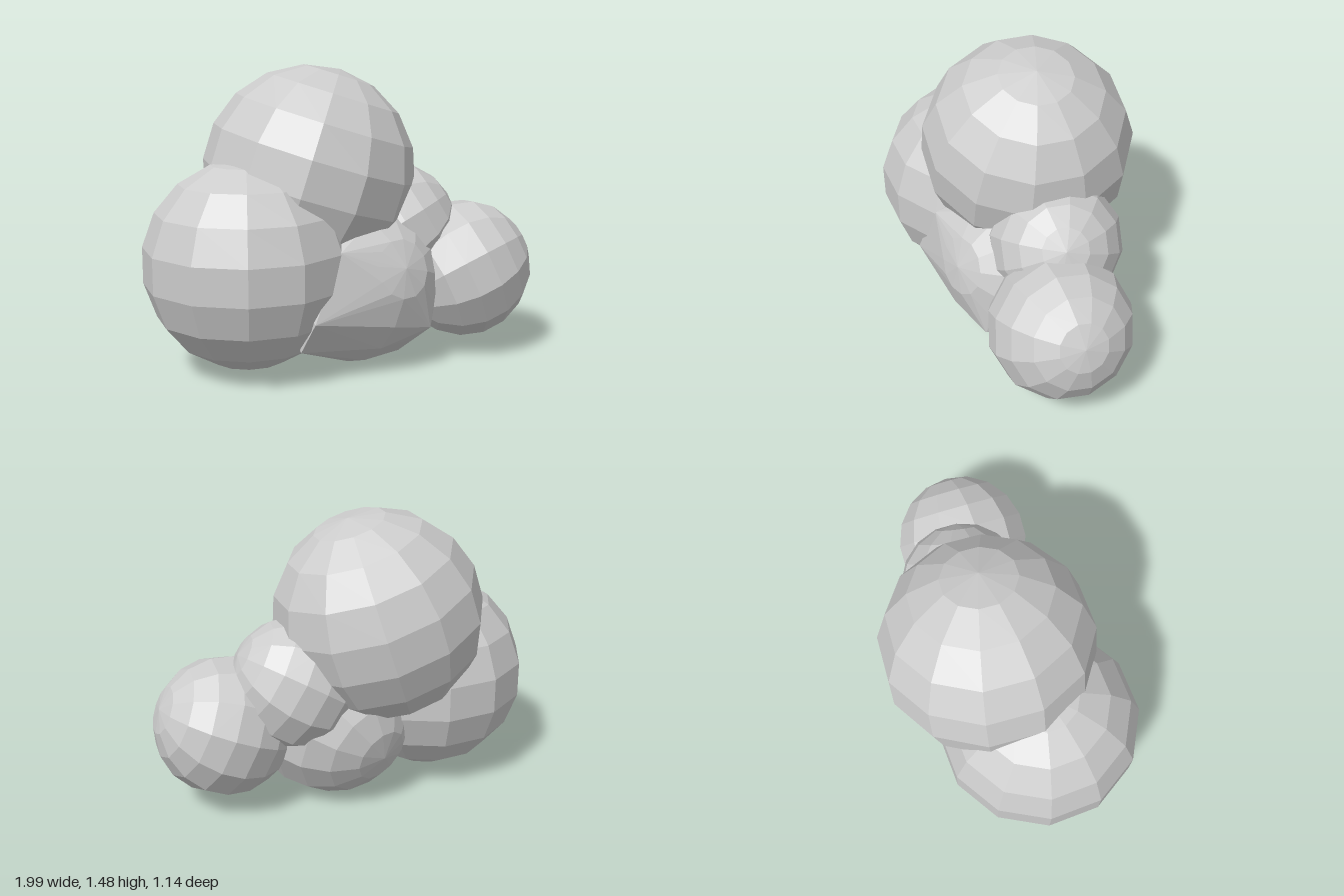
import * as THREE from 'three';
import { ConvexGeometry } from 'three/addons/geometries/ConvexGeometry.js';

const material = new THREE.MeshStandardMaterial({ color: 0xcccccc, flatShading: true });

// Faceted ball whose pole points along the given direction
function ballGeometry(radius, center, pole, spin = 0) {
  const tilt = new THREE.Quaternion().setFromUnitVectors(
    new THREE.Vector3(0, 1, 0), new THREE.Vector3(...pole).normalize());
  return new THREE.SphereGeometry(radius, 12, 9)
    .rotateY(spin).applyQuaternion(tilt).translate(...center);
}

export function createModel() {
  const group = new THREE.Group();
  const add = (name, geometry) => {
    const mesh = new THREE.Mesh(geometry, material);
    mesh.name = name;
    group.add(mesh);
  };

  // Four plain puffs: name, radius, centre, pole direction, spin
  const puffs = [
    ['rightPuff', 0.515, [-0.49, 0.55, 0.065], [0, 1, 0], 0.19],
    ['topPuff', 0.535, [-0.12, 0.96, -0.05], [0.3, 0.95, 0.05], 0.1],
    ['leftPuff', 0.355, [0.65, 0.44, 0.16], [0.9, 0.4, 0.12], 0],
    ['upperLeftPuff', 0.335, [0.315, 0.655, 0.015], [0.8, 0.5, 0.25], 0],
  ];
  for (const [name, ...args] of puffs) add(name, ballGeometry(...args));

  // Bottom puff, stretched at the front into flat facets that meet its neighbours
  const base = ballGeometry(0.425, [0.08, 0.422, 0.08], [0.2, 0.3, 0.93]);
  const position = base.attributes.position;
  const points = [];
  for (let i = 0; i < position.count; i++) {
    points.push(new THREE.Vector3().fromBufferAttribute(position, i));
  }
  const corners = [
    [-0.345, 0.17, 0.39], [-0.315, 0.33, 0.495], [-0.28, 0.14, 0.34],
    [-0.165, 0.65, 0.45], [-0.14, 0.67, 0.4],
    [0.35, 0.38, 0.36], [0.335, 0.22, 0.41],
  ];
  corners.forEach((c) => points.push(new THREE.Vector3(...c)));
  add('bottomPuff', new ConvexGeometry(points));

  return group;
}
